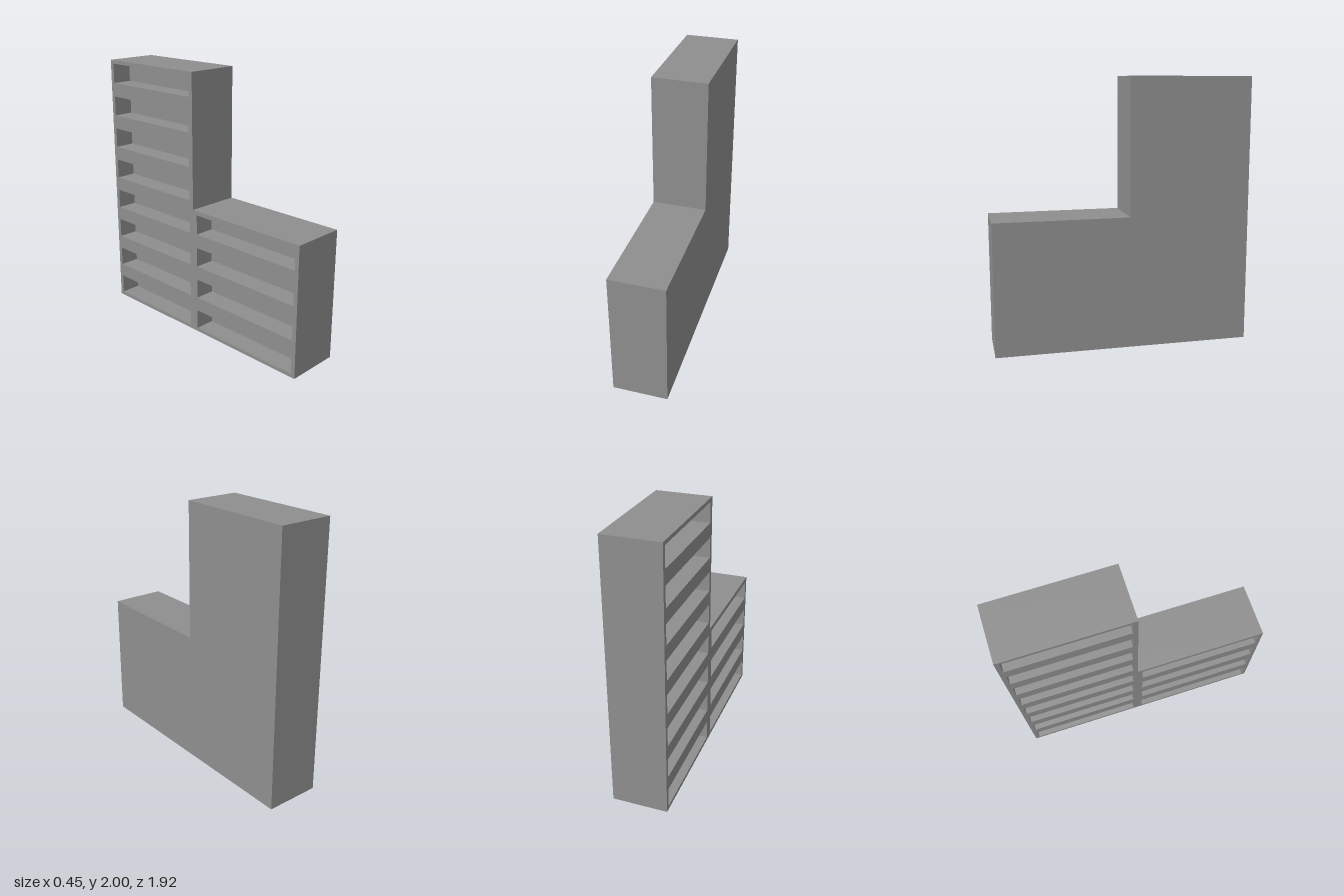
import * as THREE from 'three';

const HALF_WIDTH = 0.205, HALF_LENGTH = 0.956;
const STEP_Z = -0.042, LOW_TOP = 0.988, HIGH_TOP = 2;
const NICHE_DEPTH = 0.155, NICHE_HEIGHT = 0.15, MARGIN = 0.028;

// Stepped side outline, drawn with shape x = model z
function outline() {
  return new THREE.Shape([
    [-HALF_LENGTH, 0], [HALF_LENGTH, 0], [HALF_LENGTH, LOW_TOP],
    [STEP_Z, LOW_TOP], [STEP_Z, HIGH_TOP], [-HALF_LENGTH, HIGH_TOP],
  ].map(([z, y]) => new THREE.Vector2(z, y)));
}

// Cuts an evenly spaced column of openings into the shape
function cutNiches(shape, z0, z1, top, count) {
  const pitch = (top - 2 * MARGIN - NICHE_HEIGHT) / (count - 1);
  for (let i = 0; i < count; i++) {
    const y0 = MARGIN + i * pitch, y1 = y0 + NICHE_HEIGHT;
    shape.holes.push(new THREE.Path([
      new THREE.Vector2(z0, y0), new THREE.Vector2(z0, y1),
      new THREE.Vector2(z1, y1), new THREE.Vector2(z1, y0),
    ]));
  }
}

// Extrudes a side shape from startX towards -x
function slab(name, shape, startX, depth, material) {
  const geometry = new THREE.ExtrudeGeometry(shape, { depth, bevelEnabled: false });
  geometry.rotateY(-Math.PI / 2);
  geometry.translate(startX, 0, 0);
  const mesh = new THREE.Mesh(geometry, material);
  mesh.name = name;
  return mesh;
}

export function createModel() {
  const group = new THREE.Group();
  group.name = 'steppedShelf';
  const material = new THREE.MeshStandardMaterial({ color: 0x8f8f8f });

  // Solid backing behind the openings
  const backX = -HALF_WIDTH + NICHE_DEPTH;
  group.add(slab('backing', outline(), HALF_WIDTH, HALF_WIDTH - backX, material));

  // Shelf frame: eight openings in the tall bay, four in the low bay
  const frame = outline();
  cutNiches(frame, -HALF_LENGTH + 0.032, STEP_Z - 0.036, HIGH_TOP, 8);
  cutNiches(frame, STEP_Z + 0.038, HALF_LENGTH - 0.032, LOW_TOP - 0.006, 4);
  group.add(slab('shelfFrame', frame, backX, NICHE_DEPTH, material));

  // The whole unit stands slightly turned
  group.rotation.y = -0.0214;
  return group;
}
